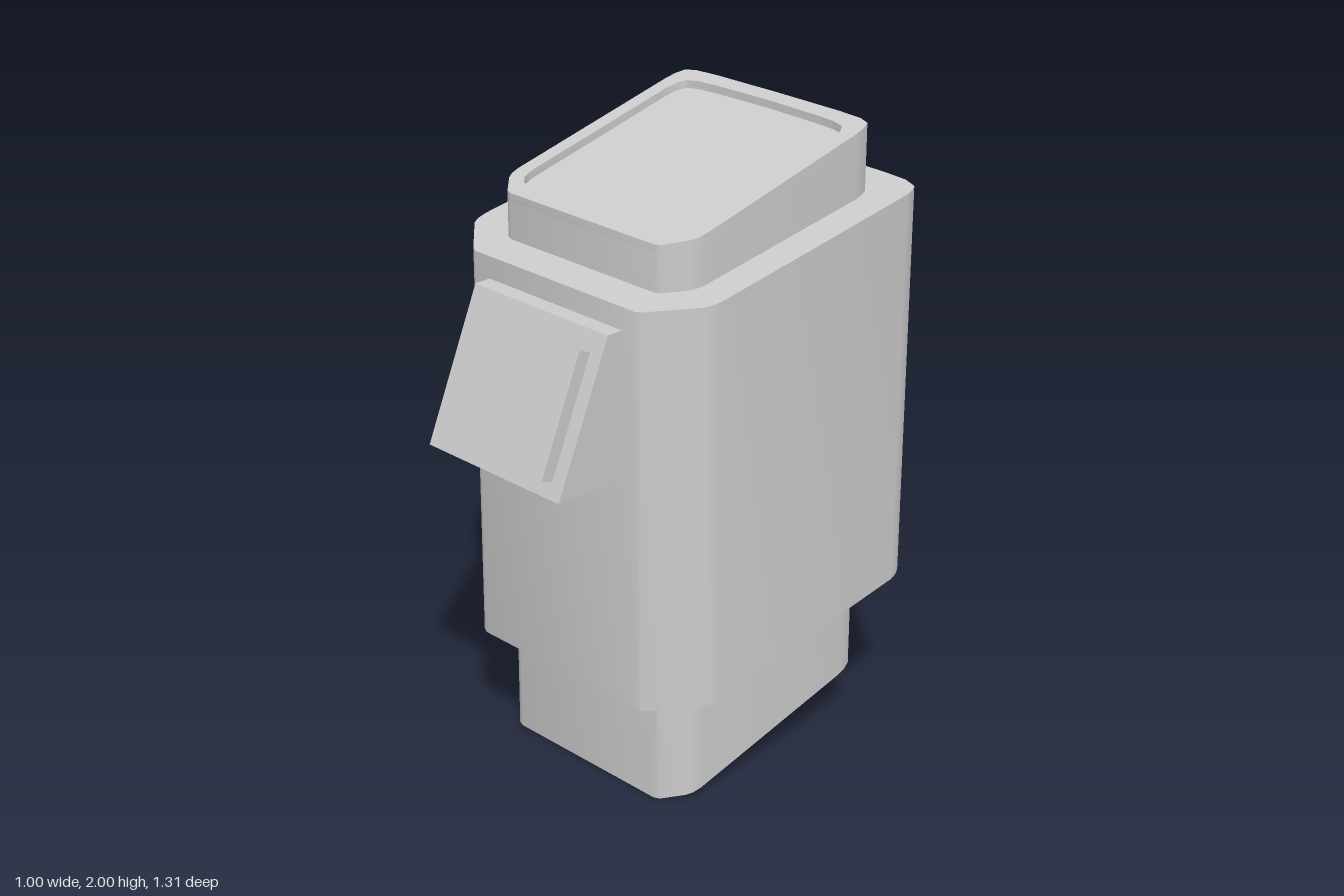
import * as THREE from 'three';
import { toCreasedNormals } from 'three/addons/utils/BufferGeometryUtils.js';

const material = new THREE.MeshStandardMaterial({ color: 0xcccccc });

// Right half of a plan outline as [x, z], front to back; mirrored to a closed loop.
function outline(half) {
  const left = half.filter(([x]) => x > 0).map(([x, z]) => [-x, z]).reverse();
  return [...half, ...left].map(([x, z]) => new THREE.Vector2(x, -z));
}

// Upright prism whose ends slope up towards the back: y rises by slope per unit of -z.
function slopedPrism(name, points, hole, height, yAtZero, slope) {
  const shape = new THREE.Shape(points);
  if (hole) shape.holes.push(new THREE.Path(hole));
  const geo = new THREE.ExtrudeGeometry(shape, { depth: height, bevelEnabled: false });
  geo.rotateX(-Math.PI / 2);
  const p = geo.attributes.position;
  for (let i = 0; i < p.count; i++) p.setY(i, p.getY(i) + yAtZero - slope * p.getZ(i));
  geo.computeVertexNormals();
  const mesh = new THREE.Mesh(toCreasedNormals(geo, 0.7), material);
  mesh.name = name;
  return mesh;
}

// Side profile as [z, y], extruded across x from x0 to x1.
function sideProfile(name, profile, x0, x1) {
  const shape = new THREE.Shape(profile.map(([z, y]) => new THREE.Vector2(-z, y)));
  const geo = new THREE.ExtrudeGeometry(shape, { depth: x1 - x0, bevelEnabled: false });
  geo.rotateY(Math.PI / 2).translate(x0, 0, 0);
  const mesh = new THREE.Mesh(geo, material);
  mesh.name = name;
  return mesh;
}

export function createModel() {
  const group = new THREE.Group();
  group.name = 'terminal';

  // Outer housing with chamfered front corners and rounded back corners
  const housing = outline([
    [0.335, 0.385], [0.355, 0.376], [0.48, 0.262], [0.494, 0.236], [0.5, 0.2],
    [0.5, -0.57], [0.494, -0.6], [0.48, -0.626], [0.43, -0.645], [0.34, -0.651], [0, -0.655],
  ]);
  group.add(slopedPrism('housing', housing, null, 1.275, 0.43, 0.155));

  // Inner column passing through the housing, with a raised rim on top
  const column = outline([
    [0.3, 0.275], [0.32, 0.268], [0.375, 0.212], [0.387, 0.19], [0.392, 0.16],
    [0.392, -0.46], [0.388, -0.495], [0.376, -0.525], [0.34, -0.538], [0.25, -0.543], [0, -0.545],
  ]);
  const opening = outline([
    [0.28, 0.22], [0.31, 0.211], [0.333, 0.188], [0.343, 0.155],
    [0.343, -0.41], [0.337, -0.45], [0.32, -0.476], [0.28, -0.487], [0.2, -0.492], [0, -0.496],
  ]);
  const slope = 0.236, base = 0.065, height = 1.806, recess = 0.025;
  group.add(slopedPrism('column', column, null, height - recess, base, slope));
  group.add(slopedPrism('columnRim', column, opening, recess, base + height - recess, slope));

  // Tilted control panel on the front and its raised screen
  group.add(sideProfile('panelWedge',
    [[0.36, 1.575], [0.36, 1.12], [0.635, 1.12], [0.44, 1.575]], -0.275, 0.285));
  group.add(sideProfile('screen',
    [[0.45, 1.512], [0.602, 1.159], [0.655, 1.182], [0.504, 1.535]], -0.228, 0.238));

  return group;
}
